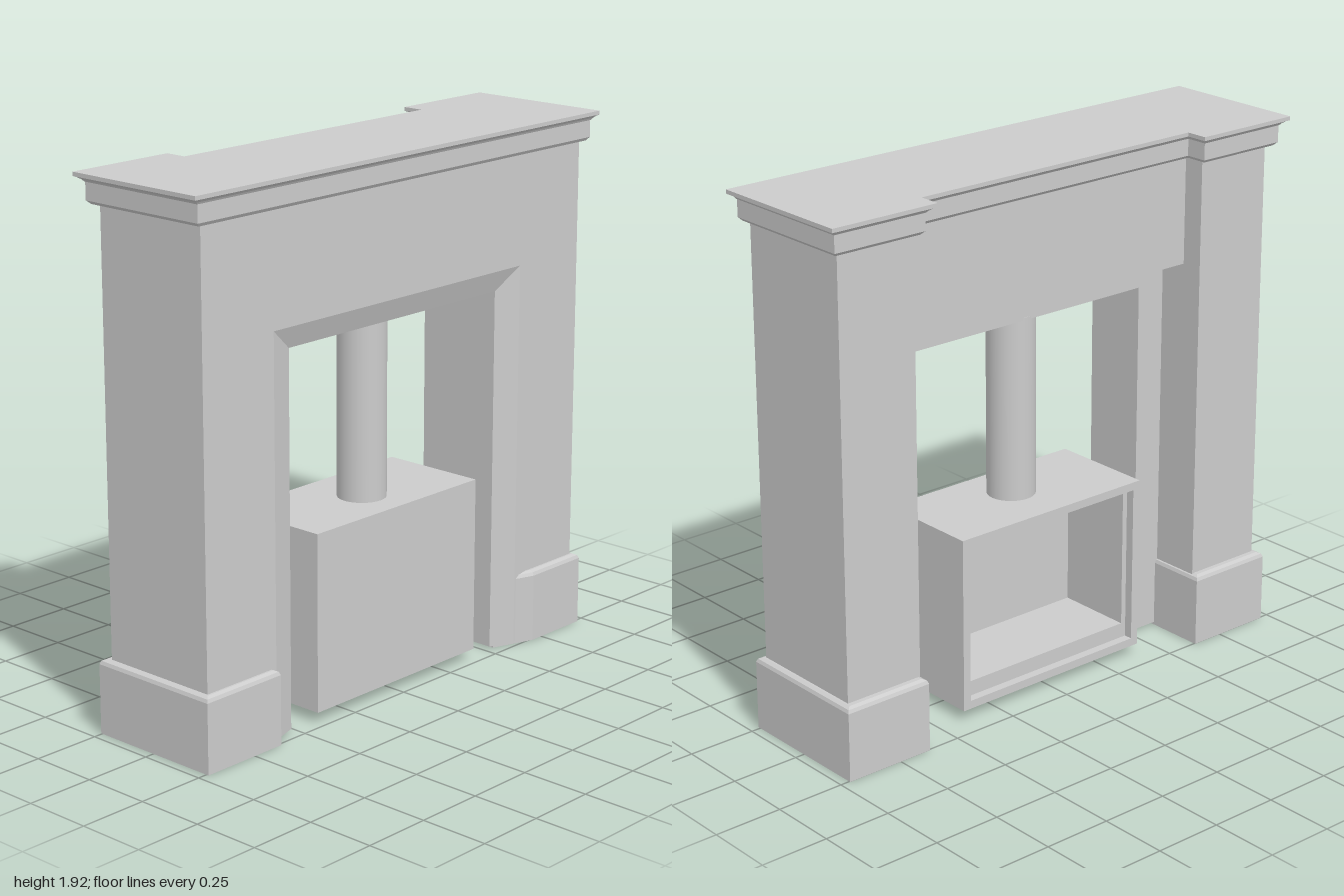
import * as THREE from 'three';

const material = new THREE.MeshStandardMaterial({ color: 0xcccccc });

function addMesh(parent, name, geometry) {
  const mesh = new THREE.Mesh(geometry, material);
  mesh.name = name;
  parent.add(mesh);
  return mesh;
}

// Box given by its minimum and maximum corners
function span(x0, x1, y0, y1, z0, z1) {
  return new THREE.BoxGeometry(x1 - x0, y1 - y0, z1 - z0)
    .translate((x0 + x1) / 2, (y0 + y1) / 2, (z0 + z1) / 2);
}

// Capped solid through a stack of matching outlines; place(a, b, t) is right-handed
function loft(levels, place) {
  const rings = levels.map(({ t, outline }) => {
    const pts = outline.map(([a, b]) => new THREE.Vector2(a, b));
    if (THREE.ShapeUtils.isClockWise(pts)) pts.reverse();
    return { t, pts };
  });
  const out = [];
  const tri = (a, b, c) => out.push(...a, ...b, ...c);
  const at = (ring, i) => place(ring.pts[i].x, ring.pts[i].y, ring.t);
  const n = rings[0].pts.length;
  for (let k = 0; k + 1 < rings.length; k++) {
    for (let i = 0; i < n; i++) {
      const j = (i + 1) % n;
      const lo = rings[k], hi = rings[k + 1];
      tri(at(lo, i), at(lo, j), at(hi, j));
      tri(at(lo, i), at(hi, j), at(hi, i));
    }
  }
  const first = rings[0], last = rings[rings.length - 1];
  for (const [a, b, c] of THREE.ShapeUtils.triangulateShape(first.pts, [])) {
    tri(at(first, c), at(first, b), at(first, a));
  }
  for (const [a, b, c] of THREE.ShapeUtils.triangulateShape(last.pts, [])) {
    tri(at(last, a), at(last, b), at(last, c));
  }
  const geometry = new THREE.BufferGeometry();
  geometry.setAttribute('position', new THREE.Float32BufferAttribute(out, 3));
  geometry.computeVertexNormals();
  return geometry;
}

const upward = (z, x, y) => [x, y, z];
const sideways = (y, z, x) => [x, y, z];

// Rectangular frame in the zy plane, reaching from x0 to x1
function frame(x0, x1, outer, inner) {
  const rect = (path, [z0, z1, y0, y1]) =>
    path.moveTo(z0, y0).lineTo(z1, y0).lineTo(z1, y1).lineTo(z0, y1).closePath();
  const shape = rect(new THREE.Shape(), outer);
  shape.holes.push(rect(new THREE.Path(), inner));
  return new THREE.ExtrudeGeometry(shape, { depth: x1 - x0, bevelEnabled: false })
    .rotateY(-Math.PI / 2).translate(x1, 0, 0);
}

const BACK = -0.22, LINTEL = -0.14, FACE = 0.235, SIDE = 0.94, INNER = 0.635;

// Surround with stepped opening at the back and splayed opening on the face
function buildSurround(parent) {
  const arch = (x, z, y) => ({
    t: x,
    outline: [[0.01, -SIDE], [1.83, -SIDE], [1.83, SIDE], [0.01, SIDE],
      [0.01, z], [y, z], [y, -z], [0.01, -z]],
  });
  addMesh(parent, 'surround', loft([
    arch(LINTEL, INNER, 1.43), arch(-0.035, INNER, 1.43), arch(-0.035, 0.52, 1.34),
    arch(0.205, 0.52, 1.34), arch(FACE, 0.62, 1.42),
  ], sideways));

  for (const s of [1, -1]) {
    const z = [s * INNER, s * SIDE].sort((a, b) => a - b);
    addMesh(parent, s > 0 ? 'leftPillar' : 'rightPillar',
      span(BACK, LINTEL, 0.01, 1.83, z[0], z[1]));
  }
}

// Plinths with a softened top edge; one runs out in a ramp towards the opening
function buildPlinths(parent) {
  const steps = [[0, 0], [0.25, 0], [0.262, 0.005], [0.268, 0.018]];
  const square = (d) => [[0.625 + d, -0.255 + d], [0.965 - d, -0.255 + d],
    [0.965 - d, 0.26 - d], [0.625 + d, 0.26 - d]];
  const ramped = (d) => [[-0.965 + d, -0.255 + d], [-0.965 + d, 0.26 - d],
    [-0.7, 0.26 - d], [-0.54, 0.204 - d], [-0.54, 0.02], [-0.625 - d, 0.02],
    [-0.625 - d, -0.255 + d]];
  for (const [name, outline] of [['leftPlinth', square], ['rightPlinth', ramped]]) {
    addMesh(parent, name,
      loft(steps.map(([t, d]) => ({ t, outline: outline(d) })), upward));
  }
}

// Moulded crown and mantel shelf, stepping in between the pillars
function buildMantel(parent) {
  const outline = (d) => [
    [-SIDE - d, BACK - d], [-SIDE - d, FACE + d * 0.7], [SIDE + d, FACE + d * 0.7],
    [SIDE + d, BACK - d], [INNER + 0.01 - d, BACK - d], [INNER + 0.01 - d, LINTEL - d],
    [-INNER - 0.01 + d, LINTEL - d], [-INNER - 0.01 + d, BACK - d],
  ];
  const layer = (profile) =>
    loft(profile.map(([t, d]) => ({ t, outline: outline(d) })), upward);
  addMesh(parent, 'crownMoulding', layer([[1.82, 0.02], [1.832, 0.032], [1.893, 0.032]]));
  addMesh(parent, 'mantelShelf', layer([[1.893, 0.034], [1.9, 0.04], [1.907, 0.05],
    [1.911, 0.06], [1.925, 0.06]]));
}

// Stove: back block, hollow firebox, open door frame, hinges and flue
function buildStove(parent) {
  const outer = [-0.405, 0.41, 0.04, 0.68];
  const stove = new THREE.Group();
  stove.name = 'stove';
  parent.add(stove);
  addMesh(stove, 'stoveBack', span(0.15, 0.225, 0.04, 0.68, -0.405, 0.41));
  addMesh(stove, 'firebox', frame(-0.14, 0.15, outer, [-0.355, 0.36, 0.125, 0.635]));
  addMesh(stove, 'doorFrame', frame(-0.172, -0.14, outer, [-0.375, 0.38, 0.07, 0.65]));
  for (const y of [0.485, 0.225]) {
    addMesh(stove, 'hinge', new THREE.CylinderGeometry(0.011, 0.011, 0.06, 12))
      .position.set(-0.14, y, 0.41);
  }
  addMesh(stove, 'flue', new THREE.CylinderGeometry(0.087, 0.087, 0.68, 32))
    .position.set(0.05, 1.01, 0);
}

export function createModel() {
  const model = new THREE.Group();
  model.name = 'fireplace';
  buildSurround(model);
  buildPlinths(model);
  buildMantel(model);
  buildStove(model);
  return model;
}
